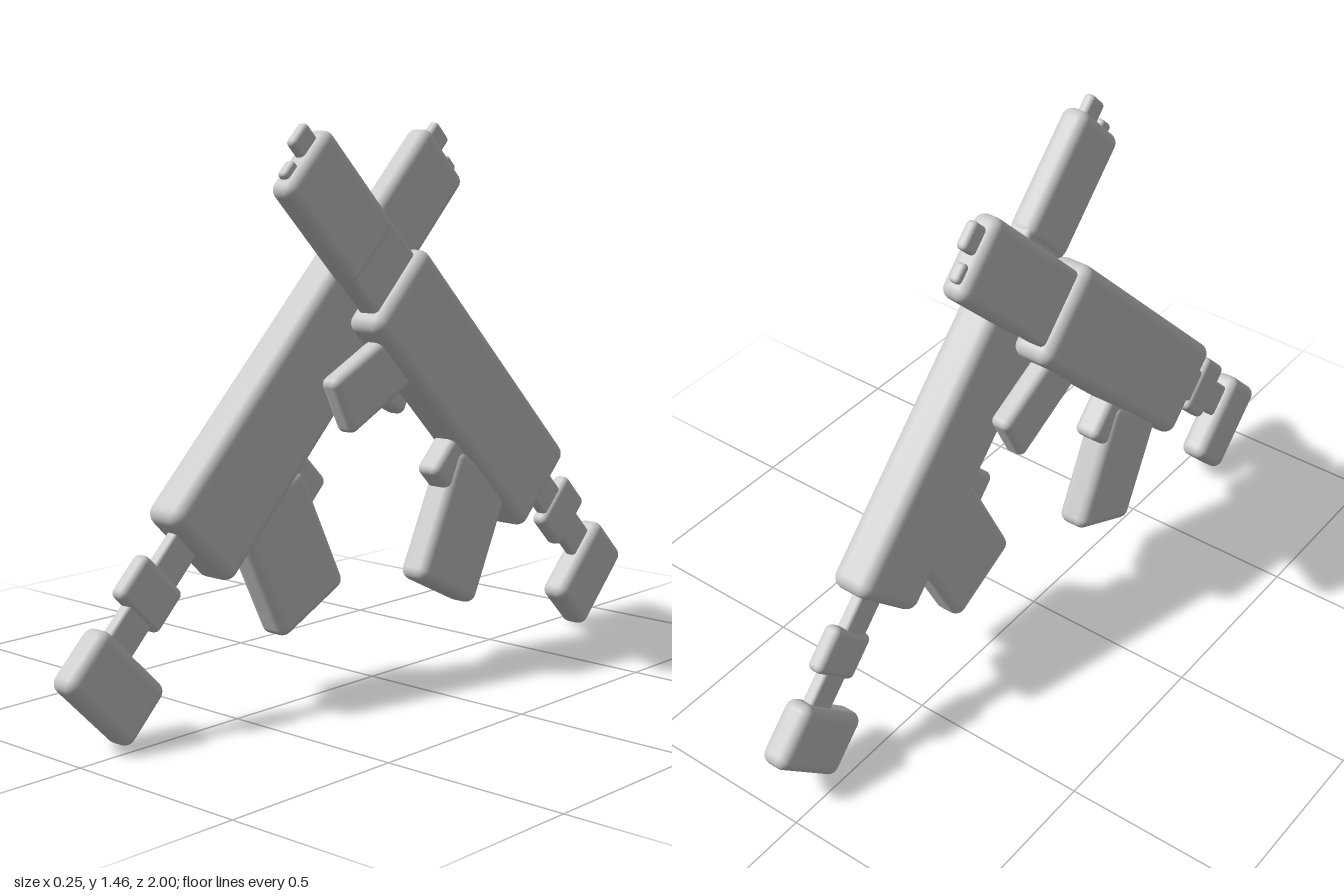
import * as THREE from 'three';
import { RoundedBoxGeometry } from 'three/addons/geometries/RoundedBoxGeometry.js';

const material = new THREE.MeshStandardMaterial({ color: 0xcccccc });

// name, thickness, [bottom, top], [back, front], edge radius
const straightParts = [
  ['body', 0.12, [0.59, 0.866], [-0.12, 0.756], 0.033],
  ['barrelCollar', 0.065, [0.63, 0.84], [0.70, 0.90], 0.015],
  ['barrelShroud', 0.078, [0.626, 0.842], [0.86, 1.21], 0.028],
  ['muzzle', 0.03, [0.735, 0.808], [1.16, 1.26], 0.012],
  ['lowerMuzzle', 0.03, [0.662, 0.712], [1.16, 1.228], 0.01],
  ['stockTube', 0.034, [0.707, 0.803], [-0.45, -0.08], 0.01],
  ['stockBlock', 0.048, [0.68, 0.848], [-0.334, -0.209], 0.018],
  ['stockPad', 0.082, [0.572, 0.842], [-0.59, -0.415], 0.028],
  ['trigger', 0.075, [0.482, 0.63], [0.16, 0.288], 0.02],
];

// name, thickness, length, depth, foot height, foot position, tilt, edge radius
const tiltedParts = [
  ['grip', 0.09, 0.37, 0.255, 0.282, 0.013, 0.33, 0.028],
  ['foregrip', 0.06, 0.28, 0.16, 0.384, 0.674, -0.33, 0.02],
];

function block(name, w, h, d, r) {
  const mesh = new THREE.Mesh(new RoundedBoxGeometry(w, h, d, 4, r), material);
  mesh.name = name;
  return mesh;
}

// One toy blaster, pointing along its own +z
function createBlaster(name) {
  const blaster = new THREE.Group();
  blaster.name = name;
  for (const [part, w, [y0, y1], [z0, z1], r] of straightParts) {
    const mesh = block(part, w, y1 - y0, z1 - z0, r);
    mesh.position.set(0, (y0 + y1) / 2, (z0 + z1) / 2);
    blaster.add(mesh);
  }
  // Handles lean away from each other, placed by the middle of their foot
  for (const [part, w, h, d, y, z, tilt, r] of tiltedParts) {
    const mesh = block(part, w, h, d, r);
    mesh.rotation.x = tilt;
    mesh.position.set(0, y + Math.cos(tilt) * h / 2, z + Math.sin(tilt) * h / 2);
    blaster.add(mesh);
  }
  blaster.rotation.x = -Math.PI / 4;
  return blaster;
}

export function createModel() {
  const model = new THREE.Group();
  model.name = 'crossedBlasters';
  // The same blaster twice, the second turned round to cross the first
  for (const [name, x, turn] of [['leftBlaster', 0.062, 0], ['rightBlaster', -0.064, Math.PI]]) {
    const side = new THREE.Group();
    side.name = name + 'Mount';
    side.add(createBlaster(name));
    side.position.x = x;
    side.rotation.y = turn;
    model.add(side);
  }
  return model;
}
